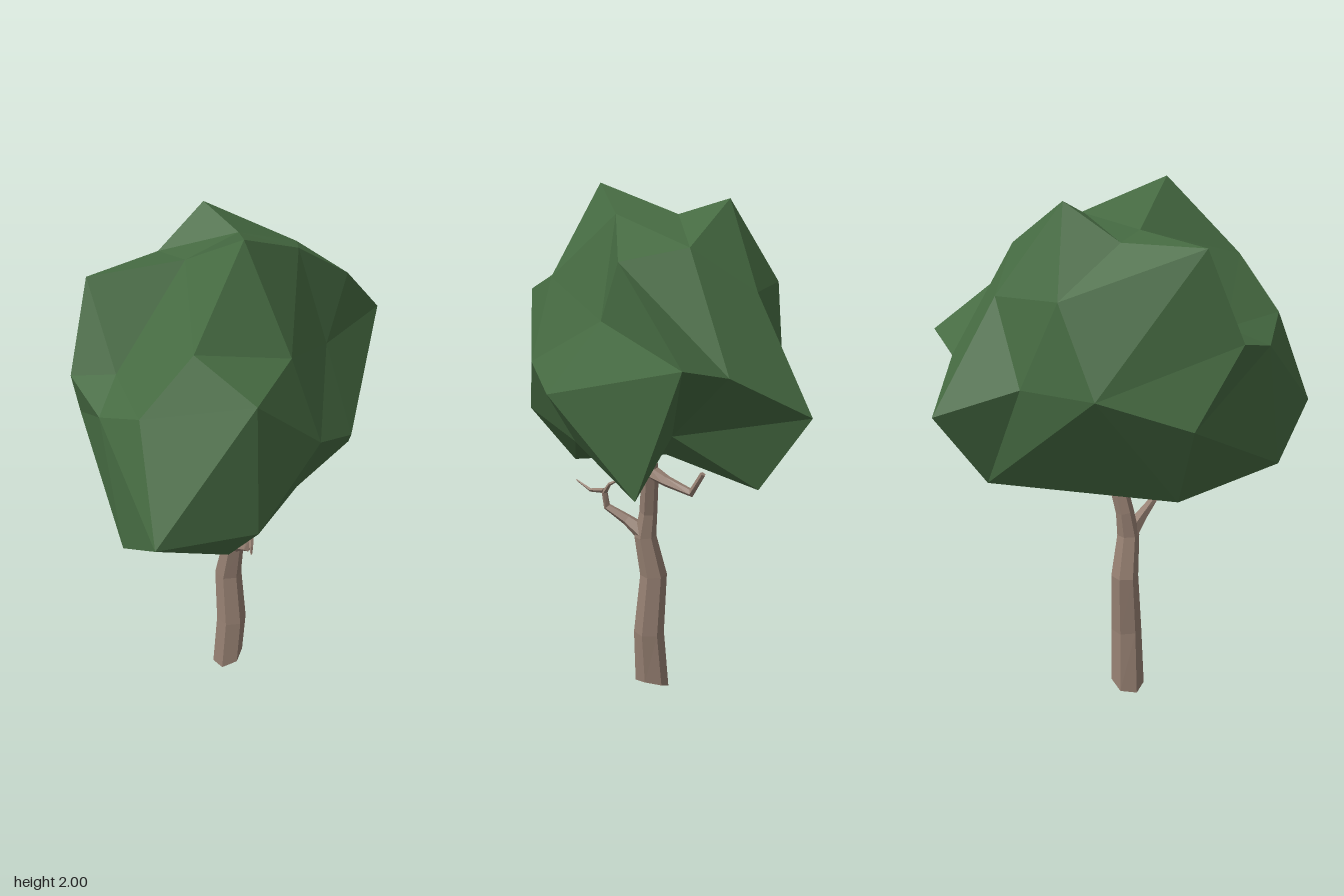
import * as THREE from 'three';
import { ConvexGeometry } from 'three/addons/geometries/ConvexGeometry.js';

const bark = new THREE.MeshStandardMaterial({ color: 0x968072, flatShading: true });
const leaf = new THREE.MeshStandardMaterial({ color: 0x466b42, flatShading: true });
const vec = (p) => new THREE.Vector3(p[0], p[1], p[2]);

// Faceted limb: rings of the given radius around path points [x, y, z, radius]
function limb(name, path, sides = 6, startNormal = null) {
  const pts = path.map(vec);
  const pos = [];
  const index = [];
  const up = new THREE.Vector3(0, 1, 0);
  const last = pts.length - 1;
  pts.forEach((p, i) => {
    const dir = pts[Math.min(i + 1, last)].clone().sub(pts[Math.max(i - 1, 0)]).normalize();
    if (i === 0 && startNormal) dir.copy(startNormal).normalize();
    const turn = new THREE.Quaternion().setFromUnitVectors(up, dir);
    for (let k = 0; k < sides; k++) {
      const a = (k / sides) * Math.PI * 2;
      const v = new THREE.Vector3(Math.cos(a), 0, Math.sin(a)).multiplyScalar(path[i][3]);
      pos.push(...v.applyQuaternion(turn).add(p).toArray());
    }
  });
  for (let k = 0; k < sides; k++) {
    const n = (k + 1) % sides;
    for (let i = 0; i < last; i++) {
      const a = i * sides, b = a + sides;
      index.push(a + k, b + k, a + n, a + n, b + k, b + n);
    }
    // end caps
    if (k > 0 && k < sides - 1) {
      index.push(0, k, n, last * sides, last * sides + n, last * sides + k);
    }
  }
  const indexed = new THREE.BufferGeometry();
  indexed.setAttribute('position', new THREE.Float32BufferAttribute(pos, 3));
  indexed.setIndex(index);
  const geometry = indexed.toNonIndexed();
  geometry.computeVertexNormals();
  const mesh = new THREE.Mesh(geometry, bark);
  mesh.name = name;
  return mesh;
}

// Leaf mass: corners are joined as on a sphere round the centre, then pulled to their true
// distance; each crease [p, q] turns the diagonal between two faces so that it joins p and q
function leafMass(name, corners, centre, creases) {
  const points = corners.map(vec);
  const dirs = points.map((p) => p.clone().sub(centre).normalize());
  const hull = new ConvexGeometry(dirs).attributes.position;
  const v = new THREE.Vector3();
  const faces = [];
  for (let i = 0; i < hull.count; i++) {
    v.fromBufferAttribute(hull, i);
    let best = 0;
    dirs.forEach((d, k) => {
      if (d.distanceToSquared(v) < dirs[best].distanceToSquared(v)) best = k;
    });
    if (i % 3 === 0) faces.push([]);
    faces[faces.length - 1].push(best);
  }
  for (const [p, q] of creases) {
    for (const f of faces.filter((t) => t.includes(p) && !t.includes(q))) {
      const [r, s] = f.filter((k) => k !== p);
      const g = faces.find((t) => t.includes(q) && t.includes(r) && t.includes(s));
      if (!g) continue;
      f[f.indexOf(s)] = q;
      g[g.indexOf(r)] = p;
      break;
    }
  }
  const geometry = new THREE.BufferGeometry().setFromPoints(faces.flat().map((k) => points[k]));
  geometry.computeVertexNormals();
  const mesh = new THREE.Mesh(geometry, leaf);
  mesh.name = name;
  return mesh;
}

export function createModel() {
  const tree = new THREE.Group();
  tree.name = 'tree';

  // Canopy corners, from the crown down
  const crown = [
    [-0.03, 2, 0.23], [-0.1, 1.94, -0.26], [0, 1.885, -0.105], [-0.27, 1.815, -0.15],
    [-0.19, 1.84, -0.01], [-0.515, 1.81, 0.01], [0.175, 1.885, 0.05], [0.23, 1.775, -0.26],
    [0.375, 1.73, -0.07], [-0.21, 1.73, 0.43], [0.1, 1.66, 0.37],
  ];
  const middle = [
    [0.06, 1.625, -0.435], [-0.26, 1.645, -0.39], [-0.035, 1.605, 0.55], [-0.386, 1.54, 0.466],
    [-0.445, 1.53, 0.166], [-0.595, 1.505, 0.11], [-0.51, 1.46, 0.31], [0.285, 1.525, 0.05],
    [0.593, 1.42, -0.41], [0.35, 1.37, -0.46], [0.2, 1.355, 0.4], [-0.13, 1.34, -0.46],
    [-0.415, 1.345, -0.356],
  ];
  const skirt = [
    [0.345, 1.265, 0.24], [-0.585, 1.24, -0.085], [0.12, 1.22, -0.665], [-0.37, 1.18, 0.665],
    [-0.03, 1.13, 0.566], [0.16, 1.06, 0.24], [-0.47, 1, 0.42], [0.45, 0.95, -0.17],
    [0.1, 0.945, -0.47], [-0.41, 0.925, 0], [-0.11, 0.918, 0.41], [0.08, 1.055, 0],
    [0.235, 1.135, -0.2],
  ];
  tree.add(leafMass('canopy', [...crown, ...middle, ...skirt], new THREE.Vector3(-0.03, 1.42, 0),
    [[4, 15], [2, 3], [8, 20], [19, 24]]));

  // Trunk with a slanted cut at the foot
  tree.add(limb('trunk', [
    [-0.072, 0.03, 0.038, 0.068], [-0.055, 0.26, 0.043, 0.06], [-0.064, 0.5, 0.027, 0.053],
    [-0.048, 0.66, 0.055, 0.043], [-0.045, 0.76, 0.04, 0.035], [-0.012, 0.92, 0.015, 0.033],
    [0.005, 0.97, 0.005, 0.028],
  ], 6, new THREE.Vector3(-0.39, 0.92, 0)));

  // Limb reaching to the back
  tree.add(limb('backBranch', [
    [-0.005, 0.935, 0.01, 0.03], [0.02, 0.912, -0.07, 0.022], [0.04, 0.885, -0.185, 0.016],
    [0.05, 0.965, -0.235, 0.011],
  ], 5));

  // Forked limb reaching to the front
  tree.add(limb('frontBranch', [
    [-0.048, 0.67, 0.06, 0.037], [-0.035, 0.72, 0.13, 0.023], [-0.015, 0.768, 0.208, 0.015],
    [0, 0.832, 0.21, 0.012],
  ], 5));
  tree.add(limb('frontTwig', [
    [0, 0.835, 0.215, 0.01], [-0.01, 0.827, 0.28, 0.007], [-0.02, 0.858, 0.35, 0.003],
  ], 4));
  tree.add(limb('innerTwig', [
    [0, 0.828, 0.21, 0.011], [0.012, 0.868, 0.18, 0.007], [0.02, 0.897, 0.125, 0.002],
  ], 4));

  return tree;
}
